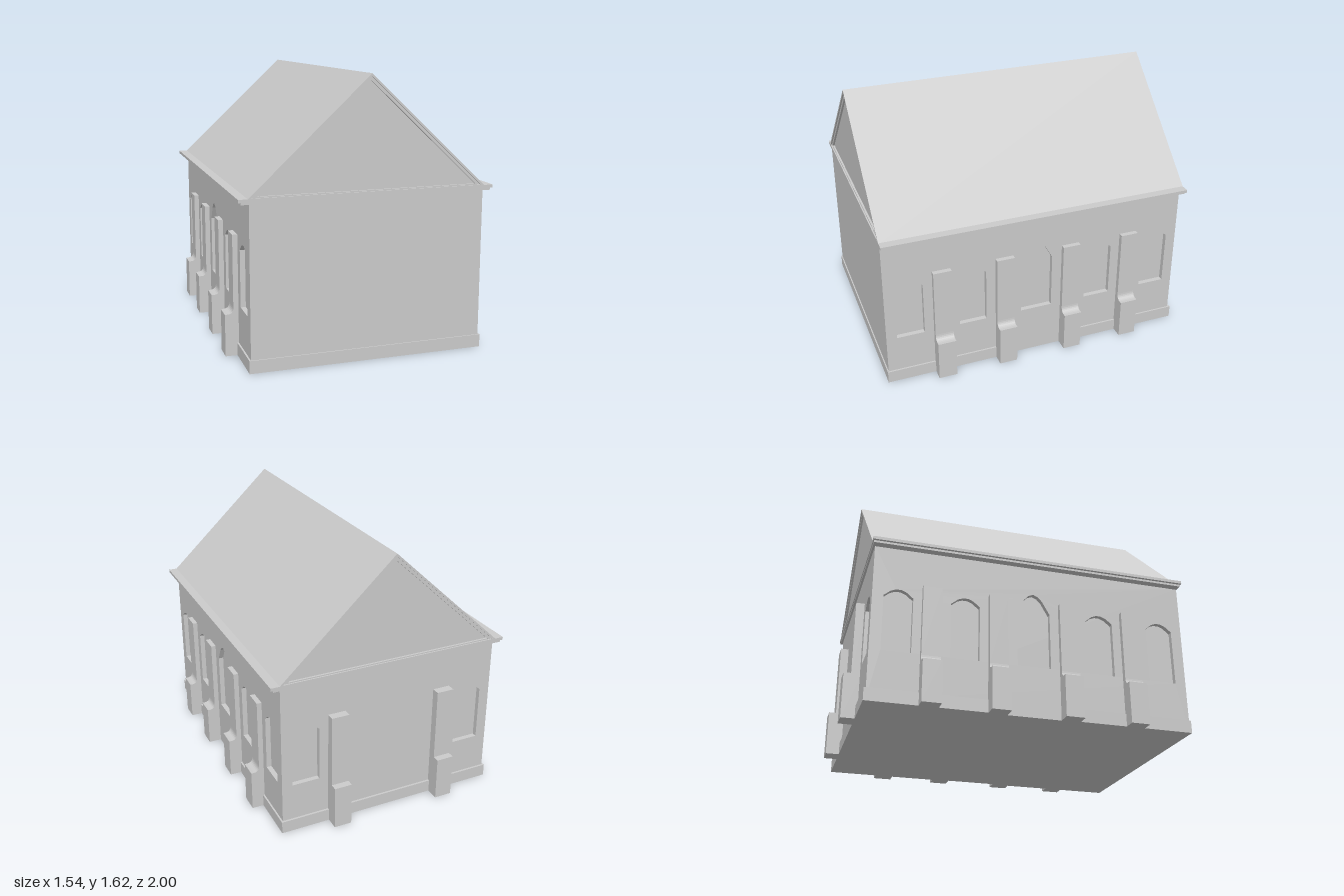
import * as THREE from 'three';

const material = new THREE.MeshStandardMaterial({ color: 0xcccccc, flatShading: true });

function add(parent, name, geometry) {
  const mesh = new THREE.Mesh(geometry, material);
  mesh.name = name;
  parent.add(mesh);
  return mesh;
}

// Box given by its limits on each axis
function block(parent, name, x0, x1, y0, y1, z0, z1) {
  const mesh = add(parent, name, new THREE.BoxGeometry(x1 - x0, y1 - y0, z1 - z0));
  mesh.position.set((x0 + x1) / 2, (y0 + y1) / 2, (z0 + z1) / 2);
  return mesh;
}

const polygon = (points) => points.map(([x, y]) => new THREE.Vector2(x, y));
const extrude = (shape, depth) =>
  new THREE.ExtrudeGeometry(shape, { depth, bevelEnabled: false, curveSegments: 6 });

// Window outline: right half of the arch, mirrored to the left
const roundArch = [[0.085, 0.64], [0.045, 0.673], [0.015, 0.685]];
const pointedArch = [[0.1, 0.65], [0.055, 0.73], [0.03, 0.757], [0, 0.77]];
function windowPath(u, arch) {
  const w = arch[0][0];
  const left = arch.filter(([x]) => x > 0).reverse().map(([x, y]) => [-x, y]);
  const points = [[-w, 0.305], [w, 0.305], ...arch, ...left];
  return new THREE.Path(polygon(points.map(([x, y]) => [x + u, y])));
}

const WALL_X = 0.69, WALL_TOP = 0.95, FRONT = 0.993, BACK = -0.907, RECESS = 0.03;

// Wall skin with window openings, its inner face on local z = 0
function wallPanel(halfWidth, windows) {
  const shape = new THREE.Shape(polygon([
    [-halfWidth, 0], [halfWidth, 0], [halfWidth, WALL_TOP], [-halfWidth, WALL_TOP],
  ]));
  for (const [u, arch] of windows) shape.holes.push(windowPath(u, arch));
  return extrude(shape, RECESS);
}

// Side buttress: heavy foot, concave shoulder, slim upper part
function buttressGeometry(width) {
  const shape = new THREE.Shape();
  shape.moveTo(0.66, 0);
  shape.lineTo(0.77, 0);
  shape.lineTo(0.77, 0.25);
  shape.lineTo(0.752, 0.25);
  shape.quadraticCurveTo(0.72, 0.252, 0.72, 0.288);
  shape.lineTo(0.72, 0.717);
  shape.lineTo(0.66, 0.717);
  shape.closePath();
  return extrude(shape, width).translate(0, 0, -width / 2);
}

// Gable triangle, inset d from the slopes and b from the base
const BASE = 0.972, RISE = 0.653, HALF = 0.7;
function gableTriangle(d, b) {
  const slope = Math.hypot(HALF, RISE);
  const x = HALF * (1 - b / RISE) - (d * slope) / RISE;
  return polygon([[-x, BASE + b], [x, BASE + b], [0, BASE + RISE - (d * slope) / HALF]]);
}

export function createModel() {
  const model = new THREE.Group();
  model.name = 'hall';

  // Walls
  const inner = WALL_X - RECESS;
  block(model, 'wallCore', -inner, inner, 0, WALL_TOP, BACK + RECESS, FRONT);
  const middle = (FRONT + BACK) / 2, halfLength = (FRONT - BACK) / 2;
  const sideWindows = [
    [-0.8, roundArch], [-0.41, roundArch], [0, pointedArch], [0.41, roundArch], [0.8, roundArch],
  ];
  for (const side of [1, -1]) {
    const wall = add(model, side > 0 ? 'leftWall' : 'rightWall', wallPanel(halfLength, sideWindows));
    wall.rotation.y = (side * Math.PI) / 2;
    wall.position.set(side * inner, 0, middle);
  }
  const backWall = add(model, 'backWall', wallPanel(inner, [[-0.54, roundArch], [0.54, roundArch]]));
  backWall.rotation.y = Math.PI;
  backWall.position.z = BACK + RECESS;

  // Plinth, broken at the middle bay
  block(model, 'frontPlinth', -0.7, 0.7, 0, 0.075, 0.25, 1);
  block(model, 'backPlinth', -0.7, 0.7, 0, 0.075, -0.92, -0.17);

  // Buttresses along the sides and on the back wall
  const buttress = buttressGeometry(0.112);
  for (const side of [1, -1]) {
    for (const z of [0.645, 0.253, -0.175, -0.565]) {
      const mesh = add(model, 'sideButtress', buttress);
      mesh.rotation.y = side > 0 ? 0 : Math.PI;
      mesh.position.z = z;
    }
    const x = side * 0.345;
    block(model, 'backButtressFoot', x - 0.054, x + 0.054, 0, 0.27, -1, BACK + 0.01);
    block(model, 'backButtressShaft', x - 0.054, x + 0.054, 0.26, 0.717, -0.957, BACK + 0.01);
  }

  // Stepped cornice
  block(model, 'lowerCornice', -0.735, 0.735, 0.945, 0.961, -0.92, 0.996);
  block(model, 'upperCornice', -0.75, 0.75, 0.958, 0.976, -0.925, 1);

  // Roof shell, stepped raking moulding and recessed gables
  const layers = [
    ['roof', gableTriangle(0, 0), gableTriangle(0.012, 0.006), 0],
    ['rakingMoulding', gableTriangle(0.012, 0.006), gableTriangle(0.029, 0.013), 0.008],
    ['gable', gableTriangle(0.029, 0.013), null, 0.02],
  ];
  for (const [name, outline, hole, inset] of layers) {
    const shape = new THREE.Shape(outline);
    if (hole) shape.holes.push(new THREE.Path(hole));
    add(model, name, extrude(shape, 1.925 - 2 * inset)).position.z = -0.925 + inset;
  }

  return model;
}
